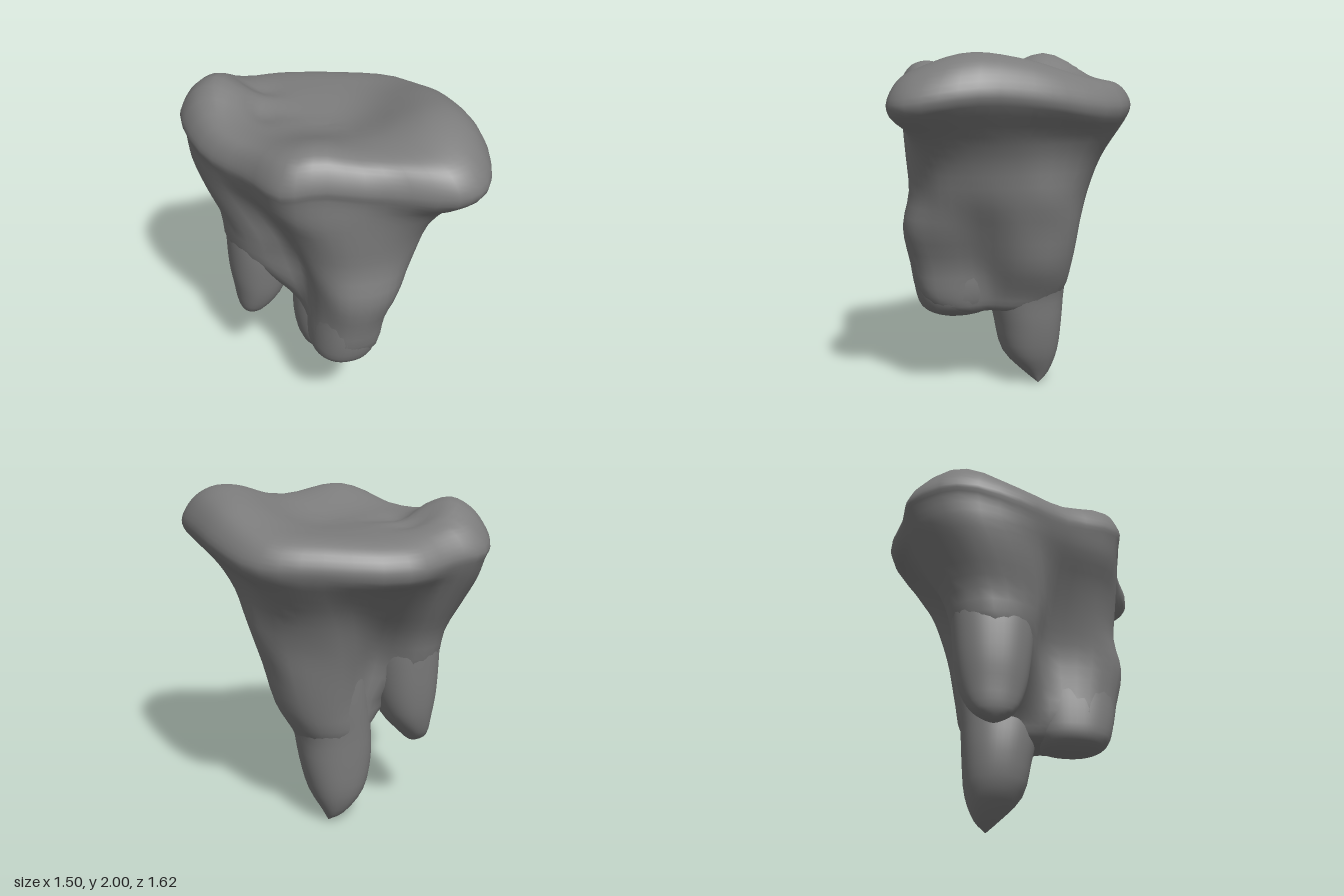
import * as THREE from 'three';

const SEG = 48;
const V = (x, y, z) => new THREE.Vector3(x, y, z);
const material = new THREE.MeshStandardMaterial({ color: 0x7c7c7c });

// Skin a stack of rings (top to bottom), smoothing each column with a curve.
function loft(name, rings, steps) {
  const rows = (rings.length - 1) * steps;
  const pos = [], idx = [];
  const columns = [];
  for (let j = 0; j < SEG; j++) {
    columns.push(new THREE.CatmullRomCurve3(rings.map(r => r[j]), false, 'centripetal'));
  }
  for (let i = 0; i <= rows; i++) {
    for (let j = 0; j < SEG; j++) {
      const p = columns[j].getPoint(i / rows);
      pos.push(p.x, p.y, p.z);
      if (i === rows) continue;
      const k = (j + 1) % SEG;
      const a = i * SEG + j, b = i * SEG + k, c = a + SEG, d = b + SEG;
      idx.push(a, b, c, b, d, c);
    }
  }
  const geo = new THREE.BufferGeometry();
  geo.setAttribute('position', new THREE.Float32BufferAttribute(pos, 3));
  geo.setIndex(idx);
  geo.computeVertexNormals();
  const mesh = new THREE.Mesh(geo, material);
  mesh.name = name;
  return mesh;
}

// Closed smooth outline through [x, z] points, starting at +x and turning to +z.
function outline(y, points) {
  const curve = new THREE.CatmullRomCurve3(points.map(([x, z]) => V(x, y, z)), true);
  return Array.from({ length: SEG }, (_, j) => curve.getPoint(j / SEG));
}

// Chewing surface: a low plate with cusps, grooves and a basin, as [x, z, radius, height].
const cusps = [
  [-0.51, -0.43, 0.23, 0.14], [-0.22, 0.42, 0.26, 0.1], [0.5, 0.36, 0.33, 0.15],
  [0.55, -0.02, 0.25, 0.06], [-0.29, -0.46, 0.11, -0.05], [-0.32, -0.22, 0.12, -0.05],
  [0.0, -0.75, 0.3, -0.02], [0.08, 0, 0.3, -0.04]
];
const topHeight = (x, z) => cusps.reduce((h, [cx, cz, r, a]) =>
  h + a * Math.exp(-((x - cx) ** 2 + (z - cz) ** 2) / (r * r)), 1.85);

function crownAndTrunk() {
  const rim = outline(0, [
    [0.73, -0.1], [0.75, 0.17], [0.735, 0.5], [0.62, 0.75], [0.44, 0.805], [0.1, 0.66], [-0.2, 0.59], [-0.43, 0.52],
    [-0.55, 0.2], [-0.71, -0.12], [-0.74, -0.48], [-0.58, -0.73], [-0.36, -0.76], [-0.08, -0.81], [0.34, -0.645],
    [0.62, -0.46]]);
  // [scale of the rim, drop below the chewing surface]
  const crown = [[0.001, 0], [0.15, 0], [0.3, 0], [0.45, 0], [0.6, 0], [0.75, 0], [0.87, 0.015],
    [0.95, 0.06], [1, 0.14], [0.975, 0.21]];
  const rings = crown.map(([s, drop]) => rim.map(p =>
    V(p.x * s, topHeight(p.x * s, p.z * s) - drop, p.z * s)));
  // Trunk cross-sections, narrowing into three lobes
  rings.push(outline(1.56, [
    [0.58, -0.1], [0.6, 0.14], [0.57, 0.4], [0.49, 0.6], [0.36, 0.66], [0.1, 0.62], [-0.2, 0.57], [-0.4, 0.47],
    [-0.5, 0.18], [-0.67, -0.1], [-0.71, -0.44], [-0.55, -0.66], [-0.34, -0.69], [-0.08, -0.7], [0.31, -0.59],
    [0.54, -0.41]]));
  rings.push(outline(1.4, [
    [0.51, -0.1], [0.52, 0.1], [0.48, 0.35], [0.4, 0.52], [0.28, 0.59], [0.08, 0.6], [-0.16, 0.56], [-0.33, 0.42],
    [-0.4, 0.16], [-0.6, -0.03], [-0.665, -0.36], [-0.53, -0.56], [-0.33, -0.6], [-0.1, -0.53], [0.22, -0.52],
    [0.45, -0.35]]));
  rings.push(outline(1.2, [
    [0.495, -0.1], [0.48, 0.08], [0.42, 0.3], [0.34, 0.49], [0.22, 0.57], [0.06, 0.59], [-0.12, 0.55], [-0.26, 0.4],
    [-0.29, 0.14], [-0.51, 0.02], [-0.59, -0.26], [-0.5, -0.45], [-0.32, -0.49], [-0.14, -0.37], [0.15, -0.46],
    [0.41, -0.3]]));
  rings.push(outline(1.0, [
    [0.44, -0.12], [0.42, 0.06], [0.32, 0.25], [0.29, 0.46], [0.18, 0.6], [0.04, 0.63], [-0.12, 0.58], [-0.21, 0.4],
    [-0.22, 0.12], [-0.47, -0.01], [-0.56, -0.23], [-0.47, -0.4], [-0.31, -0.43], [-0.15, -0.29], [0.12, -0.41],
    [0.37, -0.3]]));
  rings.push(outline(0.78, [
    [0.39, -0.12], [0.35, 0.05], [0.22, 0.21], [0.21, 0.4], [0.15, 0.53], [0.02, 0.585], [-0.11, 0.54], [-0.2, 0.38],
    [-0.2, 0.14], [-0.3, 0], [-0.35, -0.15], [-0.29, -0.24], [-0.2, -0.26], [-0.08, -0.3], [0.12, -0.37],
    [0.31, -0.29]]));
  const low = outline(0.6, [
    [0.29, -0.12], [0.26, 0.03], [0.18, 0.17], [0.185, 0.36], [0.13, 0.5], [0, 0.54], [-0.11, 0.51], [-0.2, 0.36],
    [-0.18, 0.14], [-0.17, 0], [-0.17, -0.1], [-0.16, -0.2], [-0.11, -0.27], [-0.04, -0.31], [0.1, -0.335],
    [0.23, -0.27]]);
  rings.push(low);
  // Web between the front and back roots
  for (const [s, y] of [[0.8, 0.51], [0.4, 0.48], [0.002, 0.47]]) {
    rings.push(low.map(p => V(0.03 + (p.x - 0.03) * s, y, 0.1 + (p.z - 0.1) * s)));
  }
  return loft('crownAndTrunk', rings, 3);
}

// Root from levels of [y, xMin, xMax, zMin, zMax], slightly squared off.
function root(name, levels) {
  const soft = t => Math.sign(t) * Math.abs(t) ** 0.88;
  const rings = levels.map(([y, x0, x1, z0, z1]) => Array.from({ length: SEG }, (_, j) => {
    const a = j / SEG * Math.PI * 2;
    return V((x0 + x1) / 2 + (x1 - x0) / 2 * soft(Math.cos(a)), y,
      (z0 + z1) / 2 + (z1 - z0) / 2 * soft(Math.sin(a)));
  }));
  return loft(name, rings, 3);
}

export function createModel() {
  const model = new THREE.Group();
  model.name = 'molarTooth';
  model.add(
    crownAndTrunk(),
    root('frontRoot', [
      [1.2, -0.18, 0.2, 0.05, 0.5], [1.0, -0.19, 0.22, 0.03, 0.58], [0.8, -0.2, 0.2, 0.03, 0.57],
      [0.62, -0.21, 0.19, 0.05, 0.55], [0.51, -0.2, 0.15, 0.08, 0.51], [0.46, -0.14, 0.07, 0.14, 0.43],
      [0.43, -0.031, -0.029, 0.299, 0.301]]),
    root('backRoot', [
      [1.2, -0.08, 0.36, -0.36, 0.08], [1.0, -0.12, 0.38, -0.37, 0.09], [0.8, -0.16, 0.36, -0.36, 0.11],
      [0.6, -0.18, 0.28, -0.34, 0.11], [0.4, -0.18, 0.25, -0.33, 0.07], [0.2, -0.13, 0.2, -0.31, 0.02],
      [0.06, 0, 0.13, -0.25, -0.11], [0, 0.099, 0.101, -0.181, -0.179]]),
    root('sideRoot', [
      [1.35, -0.56, -0.24, -0.46, -0.06], [1.15, -0.56, -0.21, -0.46, 0.0], [1.0, -0.565, -0.19, -0.45, 0.01],
      [0.8, -0.56, -0.2, -0.43, -0.01], [0.65, -0.54, -0.25, -0.4, -0.04], [0.52, -0.52, -0.36, -0.34, -0.1],
      [0.47, -0.49, -0.41, -0.27, -0.17], [0.45, -0.451, -0.449, -0.221, -0.219]])
  );
  return model;
}
